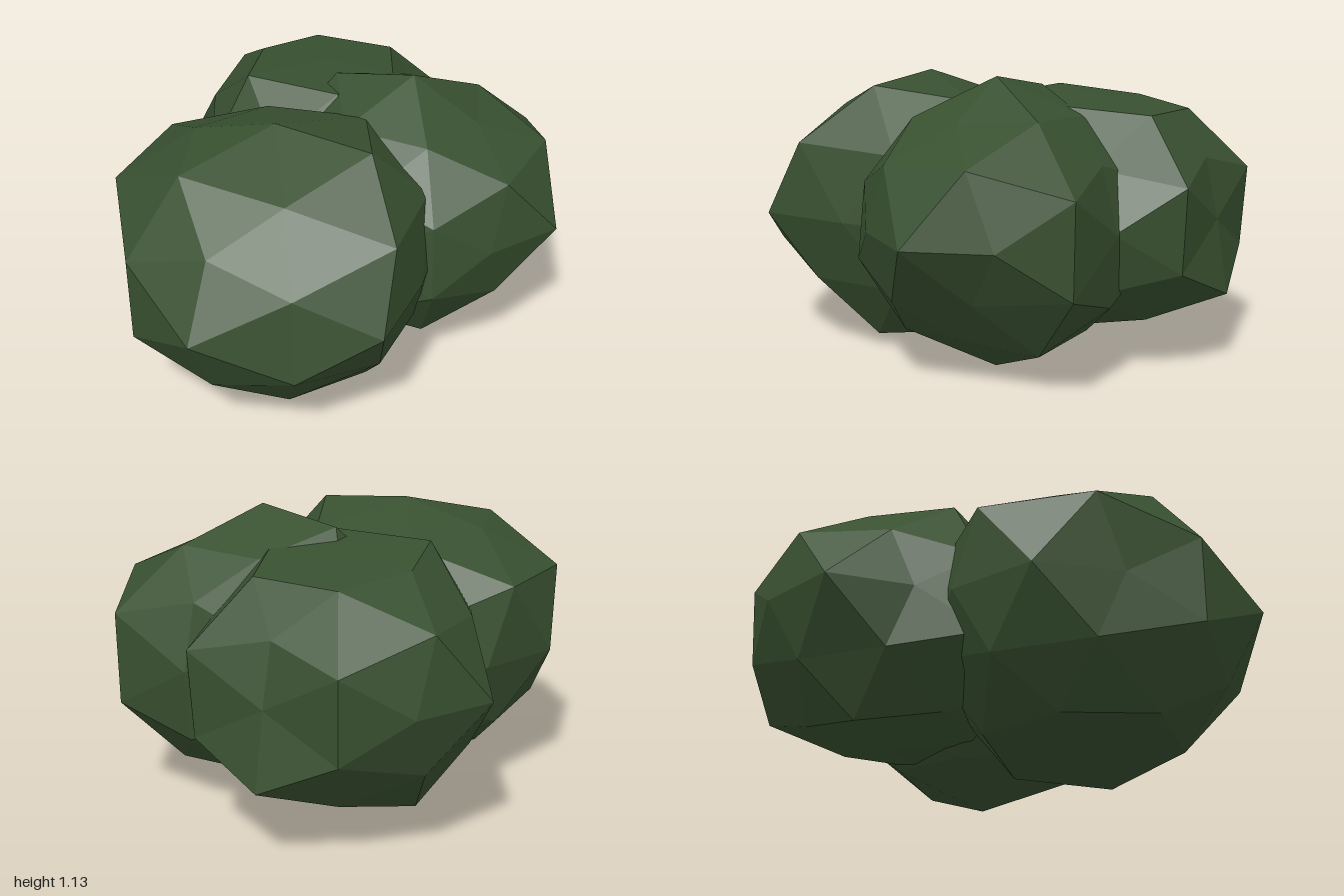
import * as THREE from 'three';

// Direction families of a once-subdivided icosahedron (mirrored over every axis)
const FAMILIES = [
  [1, 0, 0], [0, 1, 0], [0, 0, 1],
  [0.526, 0.851, 0], [0, 0.526, 0.851], [0.851, 0, 0.526],
  [0.309, 0.809, 0.5], [0.5, 0.309, 0.809], [0.809, 0.5, 0.309],
];

// Each clump: centre, vertical squash and the radius of each corner.
// A row belongs to one family; signs run + to -, with z changing fastest.
const CLUMPS = [
  {
    name: 'frontFoliageClump', centre: [-0.1, 0.56, 0.29], squash: 0.81,
    radii: [
      [0.61, 0.66], [0.68, 0.6], [0.71, 0.62],
      [0.75, 0.73, 0.66, 0.65], [0.646, 0.65, 0.657, 0.62], [0.72, 0.65, 0.57, 0.65],
      [0.62, 0.7, 0.68, 0.72, 0.7, 0.65, 0.68, 0.68],
      [0.62, 0.62, 0.68, 0.65, 0.68, 0.65, 0.68, 0.65],
      [0.73, 0.67, 0.65, 0.65, 0.72, 0.74, 0.62, 0.65],
    ],
  },
  {
    name: 'leftFoliageClump', centre: [0.24, 0.59, -0.25], squash: 0.9,
    radii: [
      [0.63, 0.6], [0.61, 0.648], [0.5, 0.52],
      [0.52, 0.53, 0.64, 0.6], [0.53, 0.53, 0.58, 0.58], [0.53, 0.58, 0.6, 0.6],
      [0.54, 0.57, 0.6, 0.61, 0.56, 0.55, 0.6, 0.6],
      [0.53, 0.645, 0.56, 0.64, 0.58, 0.6, 0.58, 0.6],
      [0.58, 0.62, 0.55, 0.5, 0.6, 0.6, 0.6, 0.6],
    ],
  },
  {
    name: 'backFoliageClump', centre: [-0.24, 0.59, -0.46], squash: 0.87,
    radii: [
      [0.55, 0.63], [0.5, 0.53], [0.55, 0.49],
      [0.58, 0.58, 0.57, 0.625], [0.58, 0.51, 0.58, 0.635], [0.56, 0.56, 0.51, 0.58],
      [0.65, 0.57, 0.58, 0.56, 0.65, 0.56, 0.58, 0.56],
      [0.58, 0.62, 0.58, 0.6, 0.6, 0.6, 0.64, 0.58],
      [0.58, 0.52, 0.58, 0.58, 0.56, 0.62, 0.565, 0.57],
    ],
  },
];

// Find the radius of the corner lying in direction v
function cornerRadius(v, radii) {
  const d = v.toArray();
  const family = FAMILIES.findIndex((f) => f.every((c, i) => Math.abs(Math.abs(d[i]) - c) < 0.02));
  let index = 0;
  FAMILIES[family].forEach((c, i) => {
    if (c > 0) index = index * 2 + (d[i] < 0 ? 1 : 0);
  });
  return radii[family][index];
}

// Faceted, unevenly swollen ball of leaves
function makeClump({ name, centre, squash, radii }, material) {
  const geometry = new THREE.IcosahedronGeometry(1, 1);
  const pos = geometry.attributes.position;
  const v = new THREE.Vector3();
  for (let i = 0; i < pos.count; i++) {
    v.fromBufferAttribute(pos, i);
    v.multiplyScalar(cornerRadius(v, radii));
    pos.setXYZ(i, v.x, v.y * squash, v.z);
  }
  geometry.computeVertexNormals();
  const mesh = new THREE.Mesh(geometry, material);
  mesh.name = name;
  mesh.position.set(...centre);
  return mesh;
}

export function createModel() {
  const leaf = new THREE.MeshStandardMaterial({ color: 0x385030, flatShading: true });
  leaf.name = 'dark leaf green';
  const bush = new THREE.Group();
  bush.name = 'bush';
  CLUMPS.forEach((clump) => bush.add(makeClump(clump, leaf)));
  return bush;
}
